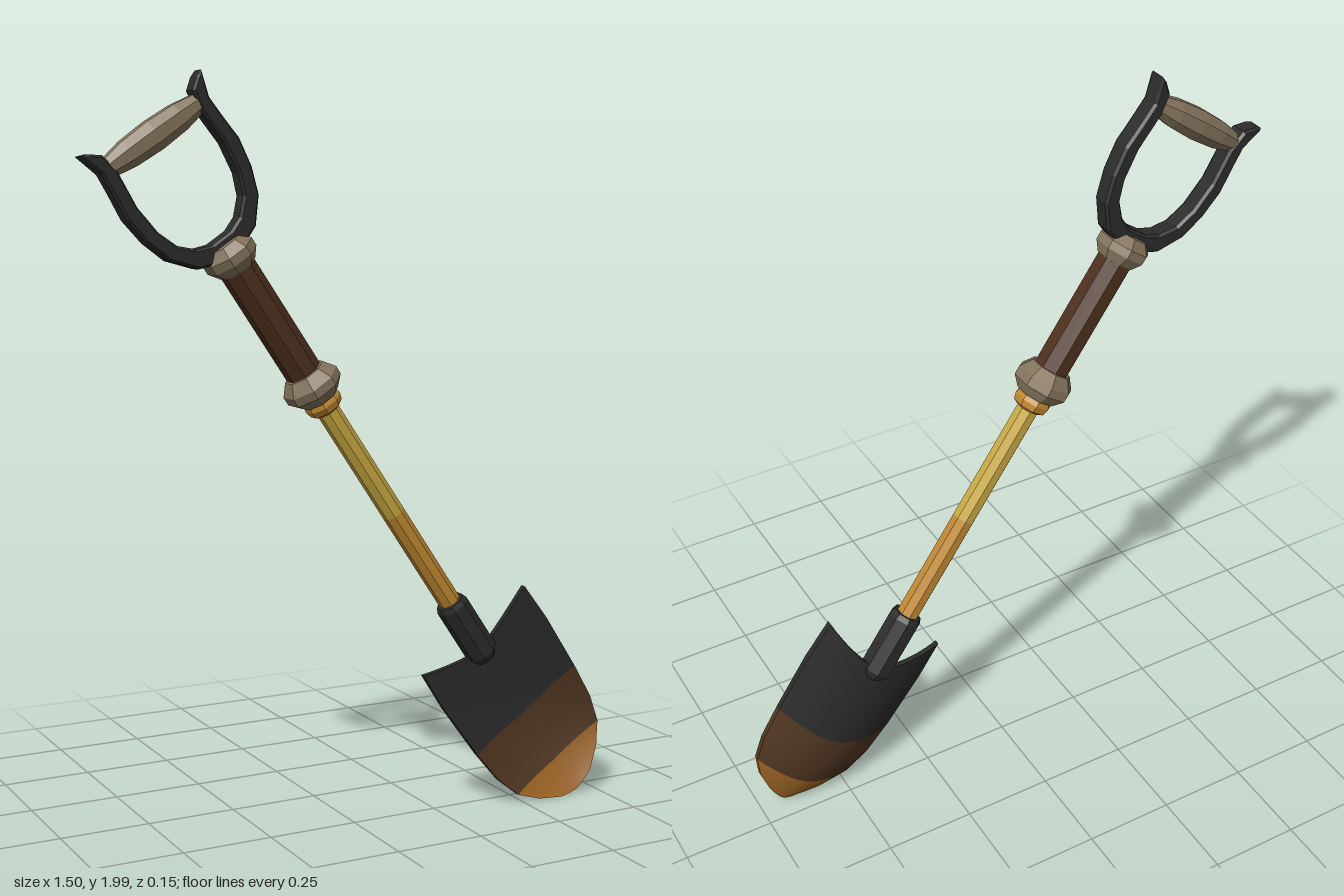
import * as THREE from 'three';

const mat = (name, color) => {
  const m = new THREE.MeshStandardMaterial({ color });
  m.name = name;
  return m;
};

// Split all faces so that every facet is flat
function flat(geometry) {
  const g = geometry.toNonIndexed();
  g.computeVertexNormals();
  return g;
}

// Eight-sided turned part from [radius, height] points, bottom to top
function turned(name, points, material) {
  const profile = points.map(([r, y]) => new THREE.Vector2(r, y));
  const g = new THREE.LatheGeometry(profile, 8, Math.PI / 8);
  const mesh = new THREE.Mesh(flat(g), material);
  mesh.name = name;
  return mesh;
}

// Scooped blade: rows of [edge y, middle y, half width, middle z, edge z]
function bladeGeometry() {
  const rows = [
    [-0.62, -0.705, 0.194, -0.005, 0.04],
    [-0.74, -0.79, 0.199, -0.012, 0.045],
    [-0.915, -0.955, 0.193, -0.013, 0.051],
    [-1.02, -1.05, 0.183, 0.0, 0.057],
    [-1.095, -1.12, 0.16, 0.02, 0.063],
    [-1.15, -1.175, 0.115, 0.042, 0.068],
    [-1.193, -1.215, 0.058, 0.064, 0.073],
  ];
  const bandOf = [0, 0, 1, 1, 2, 2];
  const cols = 12, half = 0.008;
  const pos = [], bands = [[], [], []];
  const point = (r, c, side) => {
    const [ey, my, w, mz, ez] = rows[r];
    const s = (c / cols) * 2 - 1, a = Math.abs(s);
    return [s * w, my + (ey - my) * a ** 1.5, mz + (ez - mz) * a * a + side * half];
  };
  const add = (p) => pos.push(...p) / 3 - 1;

  // Front and back skins
  for (const side of [1, -1]) {
    const start = pos.length / 3;
    rows.forEach((_, r) => {
      for (let c = 0; c <= cols; c++) add(point(r, c, side));
    });
    for (let r = 0; r < rows.length - 1; r++) {
      for (let c = 0; c < cols; c++) {
        const a = start + r * (cols + 1) + c, b = a + cols + 1;
        bands[bandOf[r]].push(...(side > 0
          ? [a, b, b + 1, a, b + 1, a + 1]
          : [a, b + 1, b, a, a + 1, b + 1]));
      }
    }
  }

  // Rim, one quad for each step around the outline
  const rim = (r0, c0, r1, c1, band) => {
    const a = add(point(r0, c0, 1)), b = add(point(r0, c0, -1));
    const c = add(point(r1, c1, -1)), d = add(point(r1, c1, 1));
    bands[band].push(a, b, c, a, c, d);
  };
  const last = rows.length - 1;
  for (let r = 0; r < last; r++) {
    rim(r, 0, r + 1, 0, bandOf[r]);
    rim(r + 1, cols, r, cols, bandOf[r]);
  }
  for (let c = 0; c < cols; c++) {
    rim(last, c, last, c + 1, 2);
    rim(0, c + 1, 0, c, 0);
  }

  const g = new THREE.BufferGeometry();
  g.setAttribute('position', new THREE.Float32BufferAttribute(pos, 3));
  g.setIndex(bands.flat());
  let offset = 0;
  bands.forEach((b, i) => {
    g.addGroup(offset, b.length, i);
    offset += b.length;
  });
  g.computeVertexNormals();
  return g;
}

// D-shaped frame with flared horns, mirrored from its right half
function frameGeometry() {
  const outer = [[0.045, 0.635], [0.095, 0.655], [0.146, 0.715], [0.17, 0.785],
    [0.181, 0.86], [0.174, 0.93], [0.17, 0.985], [0.19, 1.05]];
  const inner = [[0.17, 1.043], [0.142, 1.022], [0.132, 0.97], [0.14, 0.87],
    [0.13, 0.79], [0.108, 0.735], [0.07, 0.698], [0.03, 0.683]];
  const right = [...outer, ...inner];
  const left = right.map(([x, y]) => [-x, y]).reverse();
  const shape = new THREE.Shape([...right, ...left].map(([x, y]) => new THREE.Vector2(x, y)));
  const g = new THREE.ExtrudeGeometry(shape, {
    depth: 0.04, bevelEnabled: true, bevelThickness: 0.008,
    bevelSize: 0.006, bevelOffset: -0.006, bevelSegments: 1,
  });
  g.translate(0, 0, -0.02);
  return g;
}

export function createModel() {
  const black = mat('black iron', 0x2c2c2c);
  const gold = mat('yellow gold', 0xc8a942);
  const orange = mat('orange gold', 0xc08932);
  const rust = mat('rust tip', 0x9a6223);
  const soil = mat('soil brown', 0x503621);
  const leather = mat('dark leather', 0x4d301d);
  const tan = mat('tan wood', 0x84745c);

  // Built upright, then leaned over
  const shovel = new THREE.Group();
  shovel.name = 'shovel';

  const blade = new THREE.Mesh(bladeGeometry(), [black, soil, rust]);
  blade.name = 'blade';
  const frame = new THREE.Mesh(frameGeometry(), black);
  frame.name = 'handleFrame';

  // Crossbar of the handle
  const bar = turned('handleBar', [[0, -0.148], [0.026, -0.148], [0.038, -0.08],
    [0.042, 0], [0.038, 0.08], [0.026, 0.148], [0, 0.148]], tan);
  bar.rotation.z = Math.PI / 2;
  bar.position.y = 0.985;

  shovel.add(
    blade, frame, bar,
    turned('socket', [[0, -0.74], [0.03, -0.735], [0.046, -0.71],
      [0.046, -0.54], [0.04, -0.525], [0, -0.525]], black),
    turned('lowerShaft', [[0.031, -0.56], [0.031, -0.21]], orange),
    turned('upperShaft', [[0.031, -0.21], [0.031, 0.16]], gold),
    turned('collar', [[0.03, 0.138], [0.047, 0.147], [0.052, 0.165], [0.045, 0.19]], orange),
    turned('lowerKnob', [[0.03, 0.176], [0.055, 0.18], [0.08, 0.208],
      [0.08, 0.232], [0.056, 0.264], [0.03, 0.266]], tan),
    turned('grip', [[0.049, 0.24], [0.049, 0.61]], leather),
    turned('upperKnob', [[0.03, 0.586], [0.052, 0.59], [0.072, 0.617],
      [0.072, 0.64], [0.05, 0.666], [0, 0.668]], tan),
  );
  shovel.rotation.z = THREE.MathUtils.degToRad(34.2);
  shovel.position.y = 1.03;

  const model = new THREE.Group();
  model.name = 'leaningShovel';
  model.add(shovel);
  return model;
}
